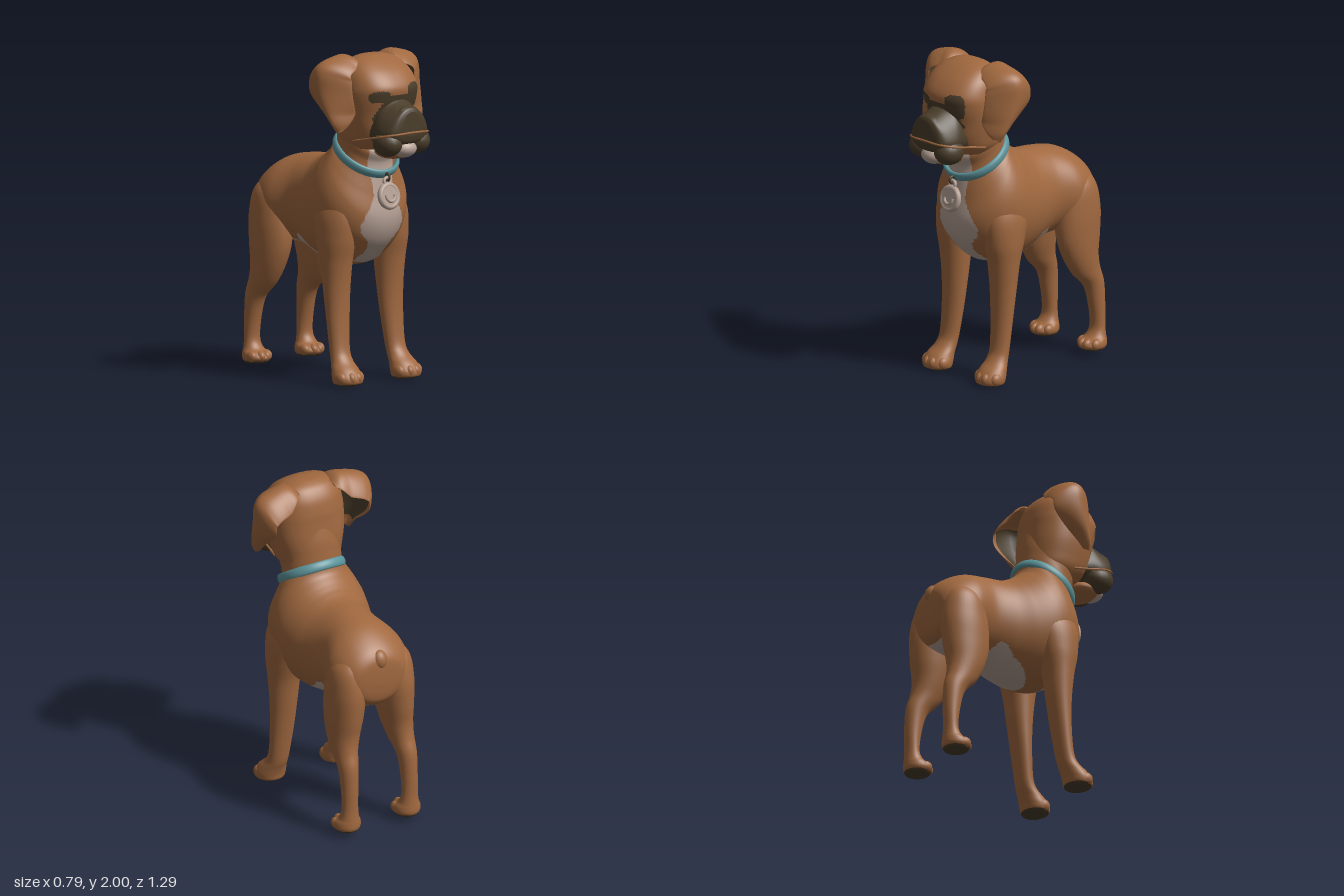
import * as THREE from 'three';

const mat = (name, color) => Object.assign(new THREE.MeshStandardMaterial({ color }), { name });

// Smooth interpolation through a list of stations, v from 0 to 1
function sample(st, v) {
  const n = st.length - 1, s = v * n, i = Math.min(Math.floor(s), n - 1), t = s - i;
  const p = [st[Math.max(i - 1, 0)], st[i], st[i + 1], st[Math.min(i + 2, n)]];
  return p[1].map((b, k) => {
    const a = p[0][k], c = p[2][k], d = p[3][k];
    return b + 0.5 * t * (c - a + t * (2 * a - 5 * b + 4 * c - d + t * (3 * (b - c) + d - a)));
  });
}

// Straight-line lookup in a table of [key, value] with rising keys; 0 outside
function lookup(table, x) {
  for (let i = 1; i < table.length; i++) {
    const [a, va] = table[i - 1], [b, vb] = table[i];
    if (x >= a && x <= b) return va + (vb - va) * (x - a) / (b - a);
  }
  return 0;
}

// Closed skin over rings given by point(u, v); pick chooses the material per face
function skin(point, nu, nv, pick = () => 0) {
  const pos = [], tris = [[], []];
  for (let j = 0; j <= nv; j++) for (let i = 0; i < nu; i++) pos.push(point(i / nu, j / nv));
  const centre = j => {
    const c = [0, 0, 0];
    for (let i = 0; i < nu; i++) pos[j * nu + i].forEach((q, k) => { c[k] += q / nu; });
    return c;
  };
  const first = centre(0), last = centre(nv);
  const iFirst = pos.push(first) - 1, iLast = pos.push(last) - 1;
  const faces = [];
  for (let i = 0; i < nu; i++) {
    const k = (i + 1) % nu, u = (i + 0.5) / nu;
    faces.push([iFirst, k, i, u, 0], [iLast, nv * nu + i, nv * nu + k, u, 1]);
    for (let j = 0; j < nv; j++) {
      const a = j * nu + i, b = j * nu + k, v = (j + 0.5) / nv;
      faces.push([a, b, b + nu, u, v], [a, b + nu, a + nu, u, v]);
    }
  }
  // Turn every face outward
  let volume = 0;
  for (const [a, b, c] of faces) {
    const [p, q, r] = [pos[a], pos[b], pos[c]];
    volume += p[0] * (q[1] * r[2] - q[2] * r[1]) + p[1] * (q[2] * r[0] - q[0] * r[2]) + p[2] * (q[0] * r[1] - q[1] * r[0]);
  }
  for (const [a, b, c, u, v] of faces) {
    const m = [0, 1, 2].map(k => (pos[a][k] + pos[b][k] + pos[c][k]) / 3);
    tris[pick(...m, u, v)].push(...(volume > 0 ? [a, b, c] : [a, c, b]));
  }
  const g = new THREE.BufferGeometry();
  g.setAttribute('position', new THREE.Float32BufferAttribute(pos.flat(), 3));
  g.setIndex([...tris[0], ...tris[1]]);
  g.addGroup(0, tris[0].length, 0);
  if (tris[1].length) g.addGroup(tris[0].length, tris[1].length, 1);
  g.computeVertexNormals();
  return g;
}

// Stations: [front z, front y, back z, back y, half width, x, widening toward the front]
function loft(st, nu, nv, pick, side = 1, power = 2) {
  const round = q => Math.sign(q) * Math.abs(q) ** (2 / power);
  return skin((u, v) => {
    const [zf, yf, zb, yb, w, x = 0, taper = 0] = sample(st, v);
    const c = round(Math.cos(u * Math.PI * 2)), s = round(Math.sin(u * Math.PI * 2));
    return [side * (x + w * c * (1 + taper * s)), (yf + yb + (yf - yb) * s) / 2, (zf + zb + (zf - zb) * s) / 2];
  }, nu, nv, pick);
}

export function createModel() {
  const dog = new THREE.Group();
  dog.name = 'dog';
  const fur = mat('brown fur', 0xa0683f), dark = mat('dark mask', 0x4a3d2a);
  const pale = mat('pale fur', 0xb5a094), teal = mat('teal collar', 0x5c949b);

  const add = (name, geo, material) => {
    const m = new THREE.Mesh(geo, material);
    m.name = name;
    dog.add(m);
    return m;
  };
  const ball = (name, material, x, y, z, rx, ry, rz) => {
    const m = add(name, new THREE.SphereGeometry(1, 20, 14), material);
    m.position.set(x, y, z);
    m.scale.set(rx, ry, rz);
    return m;
  };

  // Torso and neck, from rump to nape, with pale chest, throat and belly
  const chest = [[0.68, 0.1], [0.73, 0.1], [0.8, 0.075], [0.86, 0.09], [0.92, 0.15], [0.97, 0.165], [1.03, 0.14], [1.14, 0.075], [1.24, 0.08], [1.3, 0.1], [1.45, 0.1]];
  const belly = [[-0.56, 0.84], [-0.36, 0.82], [-0.26, 0.8], [-0.21, 0.865], [-0.16, 0.85], [-0.1, 0.79], [-0.05, 0.77], [0, 0.73], [0.06, 0.69]];
  const torsoColour = (x, y, z) =>
    (z > 0.2 && Math.abs(x) < lookup(chest, y)) || y < lookup(belly, z) ? 1 : 0;
  add('torso', loft([
    [-0.622, 0.98, -0.622, 1.06, 0.04],
    [-0.6, 0.87, -0.607, 1.16, 0.165],
    [-0.52, 0.81, -0.54, 1.235, 0.238],
    [-0.4, 0.785, -0.42, 1.3, 0.262],
    [-0.26, 0.77, -0.26, 1.33, 0.228],
    [-0.1, 0.715, -0.14, 1.34, 0.25],
    [0.06, 0.69, -0.07, 1.365, 0.285],
    [0.2, 0.715, -0.03, 1.388, 0.306],
    [0.29, 0.78, 0, 1.41, 0.31],
    [0.37, 0.88, 0.03, 1.435, 0.297],
    [0.405, 1.0, 0.045, 1.46, 0.27],
    [0.387, 1.15, 0.05, 1.48, 0.232],
    [0.372, 1.275, 0.058, 1.505, 0.192],
    [0.37, 1.34, 0.065, 1.56, 0.187],
    [0.39, 1.4, 0.075, 1.64, 0.19],
    [0.36, 1.46, 0.1, 1.74, 0.18],
  ], 124, 220, torsoColour), [fur, pale]);
  ball('tail', fur, 0, 1.145, -0.583, 0.048, 0.06, 0.045).rotation.x = 0.3;

  // Skull with dark patches round the eyes
  const inOval = (x, y, cx, cy, rx, ry) => Math.abs((x - cx) / rx) ** 3 + Math.abs((y - cy) / ry) ** 3 < 1;
  const mask = [[1.44, 0.19], [1.6, 0.175], [1.7, 0.13], [1.75, 0.105], [1.775, 0.07]];
  const skullColour = (x, y, z) => (z > 0.46 && Math.abs(x) < lookup(mask, y)) || (z > 0.36 && (
    inOval(x, y, 0.12, 1.76, 0.055 + 0.1 * Math.max(0, y - 1.72), 0.078) ||
    inOval(x, y, -0.132, 1.766, 0.06, 0.036))) ? 1 : 0;
  add('head', loft([
    [0.4, 1.43, 0.13, 1.45, 0.16],
    [0.46, 1.49, 0.09, 1.49, 0.195],
    [0.49, 1.56, 0.085, 1.56, 0.214],
    [0.505, 1.65, 0.088, 1.65, 0.232],
    [0.532, 1.75, 0.098, 1.75, 0.24],
    [0.535, 1.82, 0.105, 1.82, 0.235],
    [0.48, 1.9, 0.125, 1.9, 0.212],
    [0.4, 1.96, 0.165, 1.96, 0.165],
    [0.33, 1.99, 0.215, 1.99, 0.09],
    [0.28, 1.997, 0.26, 1.997, 0.015],
  ], 110, 90, skullColour, 1, 2.35), [fur, dark]);

  // Muzzle, nose, hanging lips and chin
  add('muzzle', loft([
    [0.4, 1.46, 0.4, 1.73, 0.14, 0, 0.35],
    [0.48, 1.465, 0.48, 1.77, 0.152, 0, 0.35],
    [0.54, 1.47, 0.54, 1.735, 0.156, 0, 0.35],
    [0.6, 1.48, 0.6, 1.71, 0.143, 0, 0.32],
    [0.632, 1.495, 0.632, 1.705, 0.115, 0, 0.28],
    [0.645, 1.535, 0.645, 1.68, 0.07, 0, 0.2],
  ], 48, 40, undefined, 1, 2.4), dark);
  ball('nose', dark, 0, 1.672, 0.603, 0.078, 0.042, 0.043);
  for (const s of [1, -1]) ball('lip', dark, s * 0.109, 1.49, 0.543, 0.085, 0.082, 0.097);
  ball('chin', pale, 0, 1.452, 0.568, 0.082, 0.055, 0.07);
  ball('lowerJaw', fur, 0, 1.43, 0.48, 0.13, 0.05, 0.11);
  const mouth = [[0.19, 1.485, 0.32], [0.184, 1.51, 0.44], [0.184, 1.532, 0.545], [0.15, 1.546, 0.612], [0.08, 1.553, 0.643]];
  const mouthPath = [...mouth, [0, 1.555, 0.645], ...mouth.map(([x, y, z]) => [-x, y, z]).reverse()];
  add('mouthLine', new THREE.TubeGeometry(new THREE.CatmullRomCurve3(
    mouthPath.map(p => new THREE.Vector3(...p))), 60, 0.007, 8), fur);

  // Folded ears: [x, y, front z, back z] from root over the fold to the tip
  const earPath = [
    [0.13, 1.95, 0.28, 0.14], [0.18, 1.982, 0.33, 0.11], [0.26, 1.97, 0.355, 0.085],
    [0.34, 1.942, 0.367, 0.075], [0.372, 1.895, 0.375, 0.075], [0.373, 1.8, 0.383, 0.09],
    [0.36, 1.7, 0.388, 0.165], [0.337, 1.61, 0.38, 0.26], [0.31, 1.56, 0.358, 0.305],
  ];
  const ear = s => skin((u, v) => {
    const [x, y, zf, zb] = sample(earPath, v);
    const p = sample(earPath, Math.max(v - 0.01, 0)), q = sample(earPath, Math.min(v + 0.01, 1));
    const tx = q[0] - p[0], ty = q[1] - p[1], len = Math.hypot(tx, ty);
    const a = Math.cos(u * Math.PI * 2), th = 0.02 * Math.sin(u * Math.PI * 2);
    // Edges curl toward the head, most at the front, and the fold slopes down to them
    const curl = (a > 0 ? 0.125 * a ** 1.5 : 0.05 * a * a) * Math.min(1, v * 2) * Math.min(1, (1 - v) * 5);
    const drop = (a > 0 ? 0.05 : 0.1) * a * a * Math.min(1, v * 5) * Math.max(0, Math.min(1, 2 - v * 2.5));
    return [s * (x - curl - ty / len * th), y - drop + tx / len * th, (zf + zb + (zf - zb) * a) / 2];
  }, 44, 54, (x, y, z, u, v) => (u > 0.6 && u < 0.9 && v > 0.42 && v < 0.86 ? 1 : 0));

  // Legs with dark soles and rounded toes
  const frontLeg = [
    [0.2, 1.34, 0.1, 1.34, 0.03, 0.13], [0.27, 1.2, 0.04, 1.2, 0.08, 0.165],
    [0.315, 1.04, 0.01, 1.04, 0.106, 0.205], [0.312, 0.88, 0.05, 0.88, 0.112, 0.209],
    [0.285, 0.74, 0.09, 0.74, 0.1, 0.21], [0.268, 0.58, 0.115, 0.58, 0.088, 0.21],
    [0.265, 0.4, 0.145, 0.4, 0.078, 0.212], [0.28, 0.22, 0.175, 0.22, 0.068, 0.218],
    [0.315, 0.15, 0.19, 0.15, 0.07, 0.222], [0.37, 0.1, 0.21, 0.1, 0.085, 0.228],
    [0.402, 0.055, 0.225, 0.055, 0.097, 0.23], [0.4, 0.02, 0.235, 0.018, 0.09, 0.23],
    [0.36, 0.003, 0.26, 0.006, 0.065, 0.23],
  ];
  const hindLeg = [
    [-0.42, 1.2, -0.5, 1.2, 0.03, 0.12], [-0.35, 1.1, -0.58, 1.1, 0.09, 0.165],
    [-0.31, 0.94, -0.617, 0.94, 0.115, 0.168], [-0.305, 0.78, -0.61, 0.78, 0.11, 0.175],
    [-0.34, 0.65, -0.592, 0.65, 0.095, 0.185], [-0.405, 0.53, -0.6, 0.56, 0.076, 0.195],
    [-0.49, 0.44, -0.628, 0.46, 0.061, 0.203], [-0.528, 0.32, -0.635, 0.32, 0.053, 0.207],
    [-0.545, 0.19, -0.632, 0.19, 0.052, 0.208], [-0.52, 0.13, -0.635, 0.13, 0.062, 0.208],
    [-0.475, 0.1, -0.637, 0.1, 0.08, 0.208], [-0.455, 0.07, -0.637, 0.067, 0.085, 0.208],
    [-0.48, 0.042, -0.625, 0.042, 0.07, 0.208],
  ];
  for (const s of [1, -1]) {
    const label = s > 0 ? 'left' : 'right';
    add(label + 'Ear', ear(s), [fur, dark]);
    add(label + 'FrontLeg', loft(frontLeg, 32, 72, (x, y) => (y < 0.018 ? 1 : 0), s), [fur, dark]);
    add(label + 'HindLeg', loft(hindLeg, 32, 72, (x, y) => (y < 0.054 ? 1 : 0), s), [fur, dark]);
    for (let i = 0; i < 4; i++) {
      const k = i - 1.5, out = Math.abs(k) > 1 ? 0.032 : 0;
      ball(label + 'FrontToe', fur, s * (0.23 + k * 0.046), 0.05, 0.363 - out, 0.03, 0.04, 0.044);
      ball(label + 'HindToe', fur, s * (0.208 + k * 0.04), 0.08, -0.493 - out, 0.027, 0.034, 0.04);
    }
  }

  // Tilted collar band with a hanging tag
  const collar = add('collar', new THREE.TorusGeometry(0.195, 0.016, 14, 72), teal);
  collar.position.set(0, 1.387, 0.217);
  collar.rotation.x = Math.atan2(0.365, -0.245);
  collar.scale.set(1, 1.03, 1.9);
  const loop = add('tagLoop', new THREE.TorusGeometry(0.022, 0.007, 8, 24), dark);
  loop.position.set(0, 1.258, 0.412);
  loop.rotation.y = Math.PI / 2;
  const tag = new THREE.Group();
  tag.name = 'tag';
  const disc = new THREE.Mesh(new THREE.CylinderGeometry(0.072, 0.072, 0.032, 40), pale);
  disc.name = 'tagDisc';
  disc.rotation.x = Math.PI / 2;
  tag.add(disc);
  for (const [name, r, tube, y, z, arc] of [
    ['tagRim', 0.066, 0.018, 0, 0, 2], ['tagRelief', 0.034, 0.01, 0, 0.016, 1.1], ['tagEyelet', 0.022, 0.01, 0.088, 0, 2]]) {
    const ring = new THREE.Mesh(new THREE.TorusGeometry(r, tube, 10, 40, arc * Math.PI), pale);
    ring.name = name;
    ring.position.set(0, y, z);
    ring.rotation.z = Math.PI * (1.5 - arc / 2);
    tag.add(ring);
  }
  tag.position.set(0, 1.145, 0.428);
  tag.rotation.x = -0.2;
  dog.add(tag);
  return dog;
}
